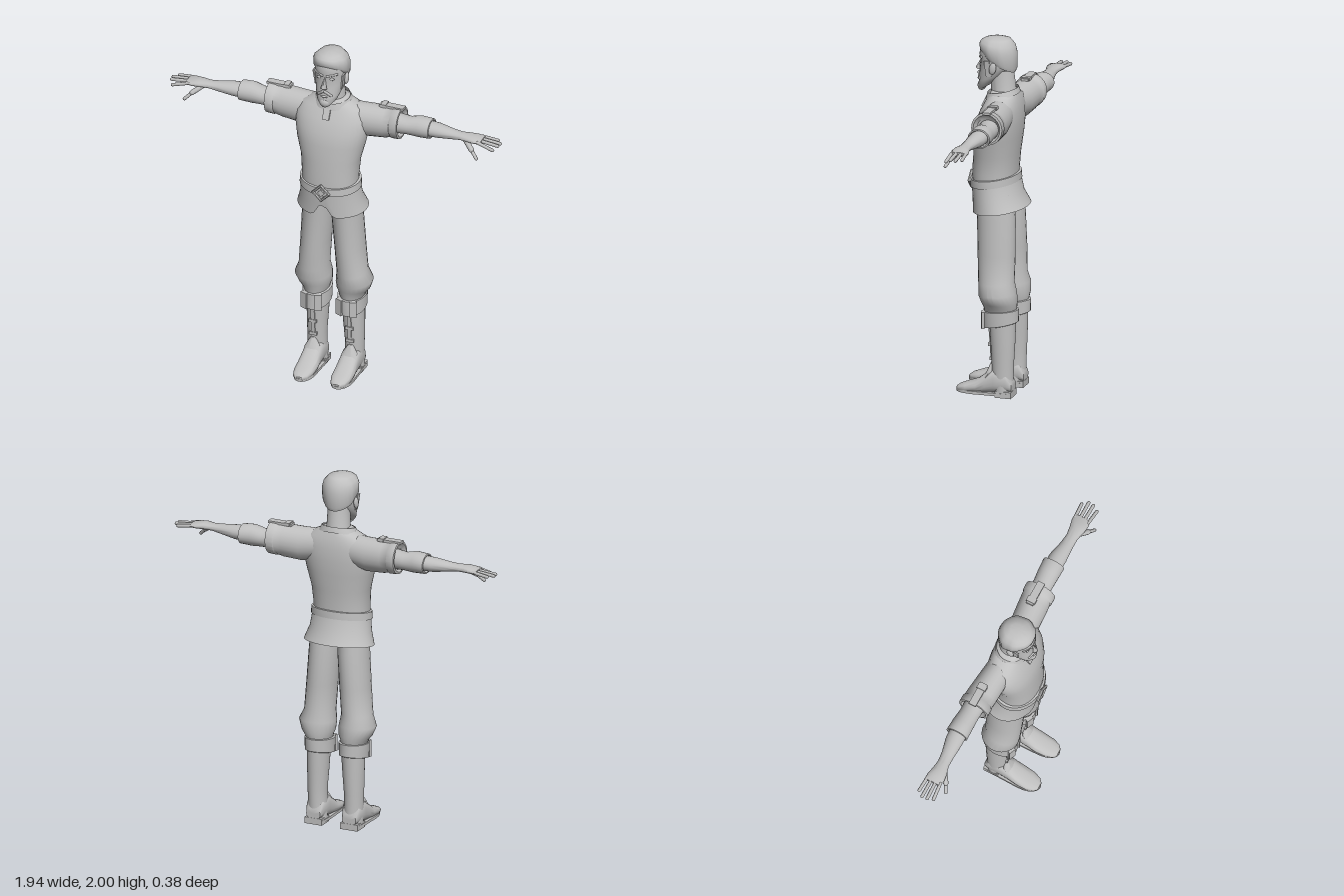
import * as THREE from 'three';
import { toCreasedNormals } from 'three/addons/utils/BufferGeometryUtils.js';

const grey = new THREE.MeshStandardMaterial({ color: 0xc0c0c0 });
grey.name = 'plain grey';
const greyOpen = new THREE.MeshStandardMaterial({ color: 0xc0c0c0, side: THREE.DoubleSide });
greyOpen.name = 'plain grey';

// Skin over elliptical sections [t, cA, cB, rA, rB, tilt].
// axis y: A = x, B = z; axis x: A = z, B = y; axis z: A = y, B = x
function loft(sections, { axis = 'y', n = 28, power = 1, caps = true, crease = 0.8, warp } = {}) {
  const rows = caps
    ? [[...sections[0].slice(0, 3), 0, 0], ...sections, [...sections.at(-1).slice(0, 3), 0, 0]]
    : sections;
  const pos = [], idx = [];
  const bend = (v) => Math.sign(v) * Math.abs(v) ** power;
  rows.forEach(([t, ca, cb, ra, rb, tilt = 0], i) => {
    for (let j = 0; j < n; j++) {
      const a = (j / n) * Math.PI * 2;
      const u = ca + ra * bend(Math.cos(a)), v = cb + rb * bend(Math.sin(a));
      const w = t + tilt * (v - cb);
      const p = axis === 'y' ? [u, w, v] : axis === 'x' ? [w, v, u] : [v, u, w];
      if (warp) warp(p, i);
      pos.push(...p);
      if (i < rows.length - 1) {
        const k = (j + 1) % n, b = i * n, c = b + n;
        idx.push(b + j, c + j, c + k, b + j, c + k, b + k);
      }
    }
  });
  const g = new THREE.BufferGeometry();
  g.setAttribute('position', new THREE.Float32BufferAttribute(pos, 3));
  g.setIndex(idx);
  return toCreasedNormals(g, crease);
}

function add(parent, name, geometry, material = grey) {
  const m = new THREE.Mesh(geometry, material);
  m.name = name;
  parent.add(m);
  return m;
}

function box(parent, name, size, at, rot = [0, 0, 0]) {
  const m = add(parent, name, new THREE.BoxGeometry(...size));
  m.position.set(...at);
  m.rotation.set(...rot);
  return m;
}

// Rounded rod between two points
function rod(parent, name, from, to, r) {
  const a = new THREE.Vector3(...from), d = new THREE.Vector3(...to).sub(a);
  const m = add(parent, name, new THREE.CapsuleGeometry(r, d.length(), 4, 8));
  m.position.copy(a).addScaledVector(d, 0.5);
  m.quaternion.setFromUnitVectors(new THREE.Vector3(0, 1, 0), d.normalize());
  return m;
}

function ball(parent, name, at, scale) {
  const m = add(parent, name, new THREE.SphereGeometry(1, 14, 10));
  m.position.set(...at);
  m.scale.set(...scale);
  return m;
}

function makeHead() {
  const h = new THREE.Group();
  h.name = 'head';
  add(h, 'neck', loft([[1.63, 0, -0.05, 0.085, 0.075], [1.7, 0, -0.04, 0.064, 0.07], [1.82, 0, -0.03, 0.06, 0.065]]));
  add(h, 'face', loft([
    [1.715, 0, 0.058, 0.035, 0.04, -0.6], [1.745, 0, 0.04, 0.06, 0.064, -0.5],
    [1.78, 0, 0.015, 0.073, 0.084, -0.4], [1.83, 0, 0, 0.083, 0.093, -0.2],
    [1.87, 0, -0.003, 0.086, 0.09], [1.9, 0, -0.005, 0.088, 0.1],
    [1.95, 0, -0.005, 0.084, 0.092], [1.98, 0, -0.005, 0.055, 0.065]], { crease: 1.2 }));
  // Swept-back hair, higher at the brow than at the nape
  add(h, 'hair', loft([
    [1.865, 0, -0.012, 0.088, 0.094, 0.6], [1.885, 0, -0.01, 0.097, 0.103, 0.55],
    [1.935, 0, -0.01, 0.099, 0.104, 0.25], [1.965, 0, -0.008, 0.09, 0.096, 0.1],
    [1.987, 0, -0.005, 0.066, 0.074], [1.998, 0, -0.005, 0.03, 0.04]],
    { crease: 1, warp: (p) => { p[0] *= 1 + 0.03 * Math.sin(p[2] * 90); } }));
  // Nose wedge, beard and lip
  const nose = add(h, 'nose', new THREE.ConeGeometry(0.019, 0.07, 4));
  nose.position.set(0, 1.842, 0.094);
  nose.rotation.x = -0.25;
  ball(h, 'beard', [0, 1.716, 0.085], [0.032, 0.028, 0.023]);
  ball(h, 'lowerLip', [0, 1.758, 0.1], [0.02, 0.006, 0.008]);
  for (const s of [-1, 1]) {
    rod(h, 'moustache', [s * 0.005, 1.79, 0.1], [s * 0.036, 1.764, 0.085], 0.008);
    rod(h, 'brow', [s * 0.015, 1.882, 0.09], [s * 0.062, 1.892, 0.066], 0.007);
    ball(h, 'eye', [s * 0.036, 1.862, 0.077], [0.016, 0.008, 0.007]);
    ball(h, 'ear', [s * 0.09, 1.84, -0.005], [0.012, 0.034, 0.02]).rotation.x = -0.2;
    box(h, 'sideburn', [0.008, 0.09, 0.03], [s * 0.081, 1.835, 0.026], [0.1, 0, s * -0.12]);
  }
  return h;
}

function makeTorso() {
  const t = new THREE.Group();
  t.name = 'torso';
  add(t, 'tunic', loft([
    [1.13, 0, 0.003, 0.158, 0.12], [1.25, 0, 0.005, 0.158, 0.122], [1.35, 0, -0.003, 0.167, 0.122],
    [1.45, 0, -0.01, 0.193, 0.127], [1.53, 0, -0.02, 0.208, 0.122], [1.6, 0, -0.033, 0.208, 0.107],
    [1.655, 0, -0.043, 0.175, 0.088], [1.685, 0, -0.045, 0.11, 0.075], [1.705, 0, -0.045, 0.08, 0.068]],
    { n: 36, power: 0.9, crease: 1.2 }));
  // Flared skirt, notched at the front
  add(t, 'tunicSkirt', loft([[1.04, 0, -0.03, 0.2, 0.153, -0.13], [1.11, 0, -0.01, 0.176, 0.136, -0.13],
    [1.2, 0, 0.003, 0.164, 0.13, -0.13]], {
    n: 48, caps: false, warp: (p, i) => {
      if (i === 0 && p[2] > 0) p[1] += 0.1 * Math.max(0, 1 - Math.abs(p[0]) / 0.06);
    } }), greyOpen);
  add(t, 'belt', loft([[1.182, 0, 0.003, 0.155, 0.12, -0.14], [1.18, 0, 0.003, 0.174, 0.137, -0.14],
    [1.222, 0, 0.003, 0.172, 0.135, -0.14], [1.224, 0, 0.003, 0.155, 0.12, -0.14]], { n: 36, caps: false }));
  const buckle = add(t, 'beltBuckle', new THREE.TorusGeometry(0.046, 0.009, 6, 4).toNonIndexed());
  buckle.geometry.computeVertexNormals();
  buckle.position.set(0, 1.18, 0.143);
  box(t, 'buckleCentre', [0.03, 0.03, 0.012], [0, 1.18, 0.14], [0, 0, Math.PI / 4]);
  add(t, 'collar', loft([[1.672, 0, -0.036, 0.112, 0.093, -0.22], [1.706, 0, -0.036, 0.094, 0.084, -0.2]],
    { caps: false }), greyOpen);
  box(t, 'neckClosure', [0.038, 0.07, 0.012], [0, 1.632, 0.062], [-0.45, 0, 0]);
  return t;
}

function makeArm() {
  const a = new THREE.Group();
  const limb = (name, s) => add(a, name, loft(s, { axis: 'x', n: 22 }));
  // Sections: x, z, y, half depth, half height
  limb('shoulderSleeve', [
    [0.08, -0.05, 1.59, 0.075, 0.085], [0.2, -0.06, 1.58, 0.08, 0.095], [0.3, -0.067, 1.585, 0.083, 0.092],
    [0.34, -0.07, 1.59, 0.083, 0.088], [0.345, -0.07, 1.59, 0.088, 0.092], [0.388, -0.07, 1.592, 0.088, 0.092],
    [0.39, -0.07, 1.592, 0.076, 0.08], [0.37, -0.07, 1.59, 0.06, 0.06]]);
  limb('lowerSleeve', [
    [0.34, -0.075, 1.585, 0.058, 0.058], [0.43, -0.078, 1.582, 0.056, 0.05], [0.49, -0.08, 1.588, 0.06, 0.06],
    [0.558, -0.081, 1.587, 0.063, 0.055], [0.56, -0.081, 1.587, 0.055, 0.048], [0.54, -0.08, 1.587, 0.045, 0.04]]);
  limb('forearmAndPalm', [
    [0.52, -0.08, 1.588, 0.05, 0.042], [0.6, -0.077, 1.588, 0.049, 0.039], [0.68, -0.07, 1.588, 0.037, 0.028],
    [0.74, -0.066, 1.59, 0.033, 0.02], [0.79, -0.063, 1.592, 0.043, 0.021], [0.83, -0.065, 1.59, 0.05, 0.018],
    [0.865, -0.068, 1.588, 0.048, 0.012]]);
  [0.935, 0.96, 0.957, 0.94].forEach((tip, i) => {
    const z = -0.105 + i * 0.026;
    rod(a, 'finger', [0.85, 1.59, z], [tip, 1.58 - (i === 3 ? 0.015 : 0), z - 0.006 + i * 0.004], 0.0095);
  });
  rod(a, 'thumbBase', [0.77, 1.585, -0.045], [0.82, 1.548, -0.01], 0.015);
  rod(a, 'thumb', [0.82, 1.548, -0.01], [0.857, 1.512, 0.01], 0.0095);
  // Shoulder strap with its buckle
  box(a, 'shoulderStrap', [0.14, 0.014, 0.042], [0.33, 1.681, -0.072]);
  box(a, 'strapBuckle', [0.03, 0.018, 0.052], [0.285, 1.684, -0.072]);
  return a;
}

function makeLeg() {
  const l = new THREE.Group();
  add(l, 'trouserLeg', loft([
    [0.46, 0.105, -0.055, 0.065, 0.085], [0.5, 0.106, -0.055, 0.074, 0.092], [0.53, 0.112, -0.052, 0.092, 0.1],
    [0.58, 0.12, -0.045, 0.103, 0.105, -0.1], [0.64, 0.112, -0.035, 0.084, 0.1, -0.1], [0.8, 0.1, -0.032, 0.083, 0.105],
    [1.0, 0.086, -0.026, 0.084, 0.107], [1.14, 0.08, -0.01, 0.08, 0.11]], { n: 24 }));
  add(l, 'bootCuff', loft([
    [0.43, 0.103, -0.06, 0.06, 0.075, -0.22], [0.402, 0.103, -0.057, 0.07, 0.093, -0.22],
    [0.405, 0.103, -0.057, 0.077, 0.1, -0.22], [0.485, 0.103, -0.057, 0.079, 0.101, -0.1],
    [0.49, 0.103, -0.057, 0.06, 0.075, -0.1]], { n: 24 }));
  for (const [x, y] of [[0.063, 0.4], [0.143, -0.4]])
    box(l, 'cuffTab', [0.04, 0.095, 0.016], [x, 0.43, 0.034], [0, -y, 0]);
  add(l, 'bootShaft', loft([
    [0.03, 0.108, -0.075, 0.054, 0.055], [0.12, 0.109, -0.07, 0.052, 0.06], [0.2, 0.11, -0.071, 0.053, 0.062],
    [0.3, 0.107, -0.07, 0.058, 0.068], [0.43, 0.103, -0.068, 0.063, 0.074]]));
  // Foot sections: z, y, x, half height, half width
  add(l, 'bootFoot', loft([
    [-0.13, 0.06, 0.108, 0.03, 0.042], [-0.1, 0.085, 0.108, 0.06, 0.054], [-0.03, 0.088, 0.108, 0.07, 0.055],
    [0.02, 0.07, 0.108, 0.056, 0.055], [0.07, 0.049, 0.108, 0.037, 0.058], [0.13, 0.037, 0.109, 0.027, 0.055],
    [0.17, 0.03, 0.11, 0.019, 0.042], [0.188, 0.026, 0.11, 0.01, 0.022]], { axis: 'z', power: 0.8 }));
  const sole = new THREE.Shape();
  sole.moveTo(0.055, 0.13).lineTo(0.05, 0.05).lineTo(0.052, -0.08);
  sole.bezierCurveTo(0.05, -0.23, 0.168, -0.23, 0.168, -0.08);
  sole.lineTo(0.164, 0.05).lineTo(0.16, 0.13).lineTo(0.055, 0.13);
  const soleGeo = new THREE.ExtrudeGeometry(sole, { depth: 0.016, bevelEnabled: false });
  soleGeo.rotateX(-Math.PI / 2);
  add(l, 'sole', soleGeo).position.y = 0.01;
  box(l, 'heel', [0.105, 0.036, 0.09], [0.108, 0.018, -0.086]);
  // Pointed instep flap and front fastenings
  const flap = add(l, 'instepFlap', loft([
    [0.085, 0.108, 0.028, 0.05, 0.03, -0.5], [0.13, 0.109, 0, 0.045, 0.025, -0.5],
    [0.185, 0.11, -0.015, 0.012, 0.012]], { n: 16 }));
  flap.name = 'instepFlap';
  for (const y of [0.21, 0.29])
    box(l, 'bootBuckle', [0.045, 0.018, 0.012], [0.108, y, -0.006 + (y - 0.21) * 0.08]);
  box(l, 'bootStrap', [0.022, 0.2, 0.008], [0.107, 0.3, -0.001], [0.07, 0, 0]);
  return l;
}

export function createModel() {
  const model = new THREE.Group();
  model.name = 'standingMan';
  model.add(makeHead(), makeTorso());
  for (const [side, s] of [['left', 1], ['right', -1]]) {
    for (const [part, make] of [['Arm', makeArm], ['Leg', makeLeg]]) {
      const g = make();
      g.name = side + part;
      g.scale.x = s;
      model.add(g);
    }
  }
  return model;
}
